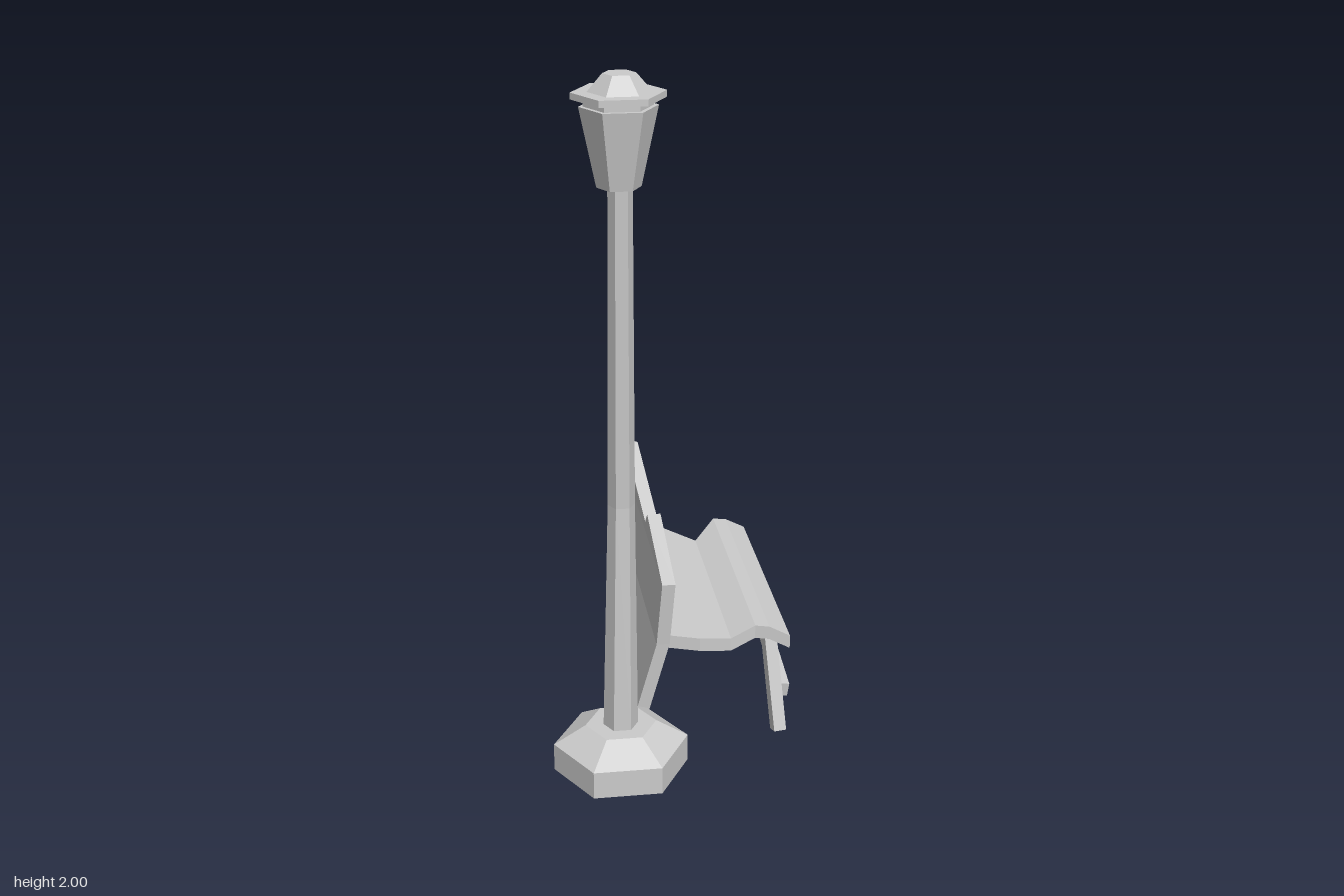
import * as THREE from 'three';

const material = new THREE.MeshStandardMaterial({ color: 0xcccccc, flatShading: true });

function mesh(name, geometry, parent) {
  const m = new THREE.Mesh(geometry, material);
  m.name = name;
  parent.add(m);
  return m;
}

// Skin a row of equal-sized point loops and close both ends.
function loft(loops) {
  const n = loops[0].length;
  const pos = [];
  const quad = (a, b, c, d) => pos.push(...a, ...b, ...c, ...a, ...c, ...d);
  for (let s = 0; s < loops.length - 1; s++) {
    const [p, q] = [loops[s], loops[s + 1]];
    for (let i = 0; i < n; i++) {
      const j = (i + 1) % n;
      quad(p[i], q[i], q[j], p[j]);
    }
  }
  const [first, last] = [loops[0], loops[loops.length - 1]];
  for (let i = 0; i < n / 2 - 1; i++) {
    quad(first[i], first[i + 1], first[n - 2 - i], first[n - 1 - i]);
    quad(last[n - 1 - i], last[n - 2 - i], last[i + 1], last[i]);
  }
  const g = new THREE.BufferGeometry();
  g.setAttribute('position', new THREE.Float32BufferAttribute(pos, 3));
  g.computeVertexNormals();
  return g;
}

// Six-sided ring: centre x, height, centre z, radius.
function hexRing([x, y, z, r]) {
  const loop = [];
  for (let i = 0; i < 6; i++) {
    const a = 0.115 + (i * Math.PI) / 3;
    loop.push([x + r * Math.cos(a), y, z + r * Math.sin(a)]);
  }
  return loop;
}
const hexLoft = (rings) => loft(rings.map(hexRing));

// Rectangular beam between two points.
function bar(name, from, to, width, depth, parent) {
  const a = new THREE.Vector3(...from);
  const b = new THREE.Vector3(...to);
  const dir = b.clone().sub(a);
  const m = mesh(name, new THREE.BoxGeometry(width, dir.length(), depth), parent);
  m.position.copy(a).add(b).multiplyScalar(0.5);
  m.quaternion.setFromUnitVectors(new THREE.Vector3(0, 1, 0), dir.normalize());
}

function buildLamp() {
  const lamp = new THREE.Group();
  lamp.name = 'streetLamp';
  mesh('lampBase', hexLoft([
    [-0.21, 0.01, 0.357, 0.19], [-0.21, 0.09, 0.357, 0.19], [-0.21, 0.145, 0.357, 0.1],
  ]), lamp);
  // crooked post
  mesh('lampPost', hexLoft([
    [-0.211, 0.12, 0.358, 0.049], [-0.205, 0.82, 0.362, 0.037], [-0.216, 1.73, 0.424, 0.032],
  ]), lamp);
  mesh('lantern', hexLoft([
    [-0.22, 1.715, 0.429, 0.057], [-0.22, 1.92, 0.432, 0.1],
  ]), lamp);
  mesh('lanternNeck', hexLoft([
    [-0.22, 1.915, 0.431, 0.088], [-0.22, 1.945, 0.431, 0.088],
  ]), lamp);
  mesh('lanternRim', hexLoft([
    [-0.219, 1.938, 0.428, 0.12], [-0.219, 1.955, 0.428, 0.12],
  ]), lamp);
  mesh('lanternCap', hexLoft([
    [-0.217, 1.952, 0.427, 0.083], [-0.217, 2.0, 0.427, 0.042],
  ]), lamp);
  return lamp;
}

function buildBench() {
  const bench = new THREE.Group();
  bench.name = 'bench';
  const panels = new THREE.Group();
  panels.name = 'benchPanels';
  panels.rotation.y = -0.113;
  bench.add(panels);

  // Wavy seat, stations from back to front: x, top height, near z, far z.
  const seat = [
    [-0.03, 0.321, 0.205, -0.507], [0.08, 0.312, 0.228, -0.527], [0.17, 0.306, 0.228, -0.432],
    [0.245, 0.33, 0.205, -0.539], [0.285, 0.328, 0.214, -0.533], [0.343, 0.302, 0.228, -0.523],
  ];
  const seatThick = 0.04;
  mesh('seat', loft(seat.map(([x, y, near, far]) => [
    [x, y, near], [x, y, far], [x, y - seatThick, far], [x, y - seatThick, near],
  ])), panels);

  // Bent backrest with a jagged top, columns from near to far: [z, y] upwards.
  const columns = [
    [[0.2, 0.04], [0.225, 0.3], [0.249, 0.5], [0.167, 0.685]],
    [[-0.02, 0.04], [-0.02, 0.3], [-0.018, 0.5], [-0.017, 0.577]],
    [[-0.3, 0.04], [-0.3, 0.3], [-0.305, 0.5], [-0.306, 0.71]],
    [[-0.504, 0.04], [-0.515, 0.3], [-0.53, 0.5], [-0.535, 0.622]],
  ];
  const backX = (y) => {
    if (y < 0.3) return -0.112 + (y - 0.04) * 0.254;
    if (y < 0.5) return -0.046 + (y - 0.3) * 0.065;
    return -0.033 - (y - 0.5) * 0.17;
  };
  mesh('backrest', loft(columns.map((col) => [
    ...col.map(([z, y]) => [backX(y) + 0.038, y, z]),
    ...col.map(([z, y]) => [backX(y), y, z]).reverse(),
  ])), panels);

  // Front legs and the slanted rail joining them
  bar('nearLeg', [0.275, 0.018, 0.298], [0.265, 0.285, 0.222], 0.036, 0.042, bench);
  bar('farLeg', [0.377, 0.012, -0.457], [0.345, 0.275, -0.38], 0.034, 0.042, bench);
  bar('legRail', [0.295, 0.133, 0.275], [0.374, 0.215, -0.38], 0.03, 0.042, bench);
  return bench;
}

export function createModel() {
  const model = new THREE.Group();
  model.name = 'lampAndBench';
  model.add(buildLamp(), buildBench());
  return model;
}
